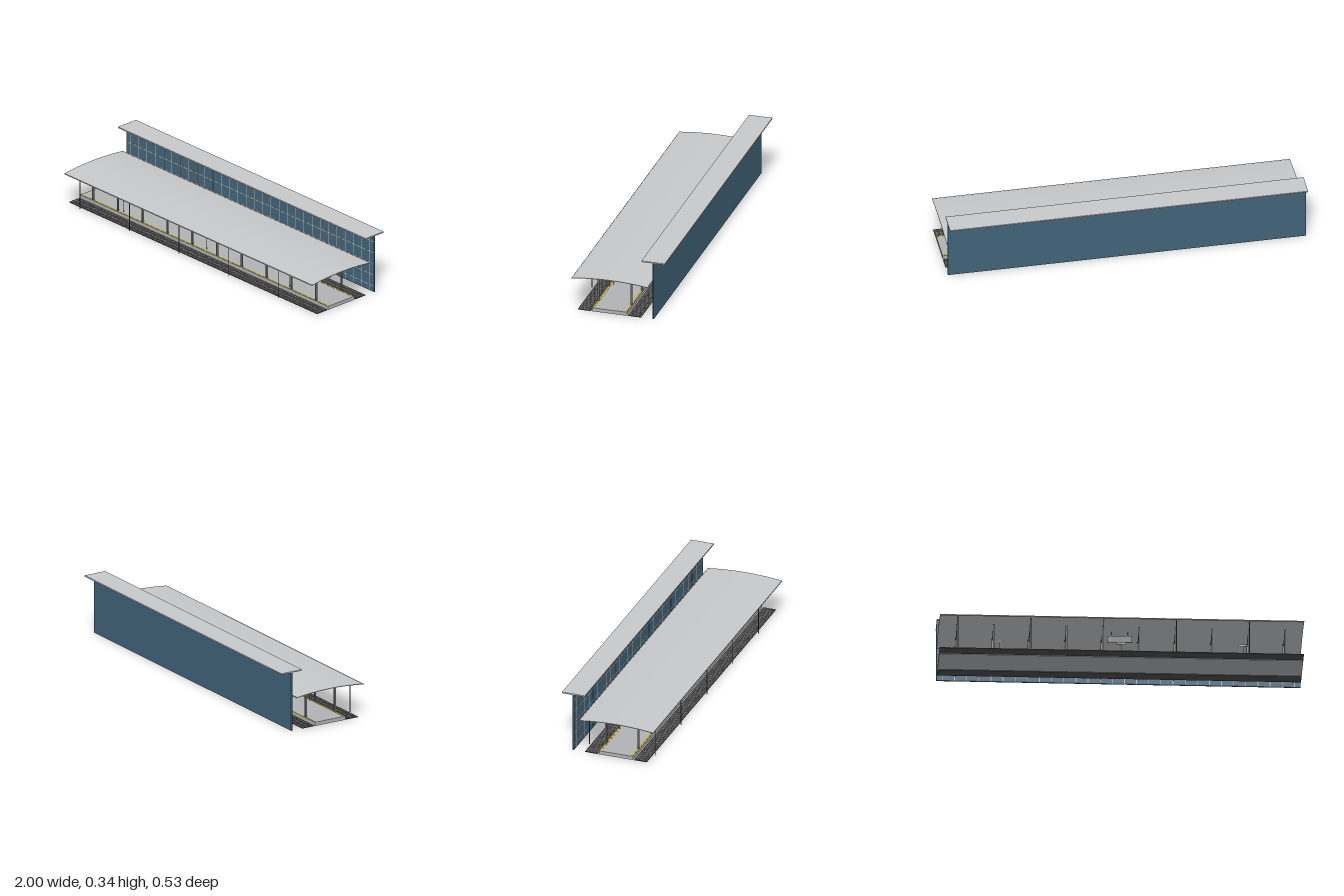
import * as THREE from 'three';

const mat = (name, color) => {
  const m = new THREE.MeshStandardMaterial({ color });
  m.name = name;
  return m;
};

export function createModel() {
  const roofGrey = mat('roof grey', 0xc6c8ca);
  const concrete = mat('concrete', 0xb0b2b4);
  const steel = mat('steel', 0x808284);
  const darkSteel = mat('dark steel', 0x55565a);
  const blue = mat('wall blue', 0x41647a);
  const joint = mat('joint grey', 0xb4b4ae);
  const yellow = mat('safety yellow', 0xd8b820);
  const ballastDark = mat('ballast', 0x4a4a4c);
  const sleeperGrey = mat('sleeper', 0x6e6a66);

  const model = new THREE.Group();
  model.name = 'trainStation';

  const add = (name, geometry, material, x = 0, y = 0, z = 0, parent = model) => {
    const m = new THREE.Mesh(geometry, material);
    m.name = name;
    m.position.set(x, y, z);
    parent.add(m);
    return m;
  };
  // Box given by its extents along y and z, centred at x
  const slab = (name, material, x, width, y0, y1, z0, z1, parent = model) =>
    add(name, new THREE.BoxGeometry(width, y1 - y0, Math.abs(z1 - z0)), material,
      x, (y0 + y1) / 2, (z0 + z1) / 2, parent);
  // Thin bar between two points (z, y) in a cross-section at x
  const bar = (name, x, [z0, y0], [z1, y1], t, parent = model) => {
    const m = add(name, new THREE.BoxGeometry(t, t, Math.hypot(z1 - z0, y1 - y0)), steel,
      x, (y0 + y1) / 2, (z0 + z1) / 2, parent);
    m.rotation.x = -Math.atan2(y1 - y0, z1 - z0);
    return m;
  };

  const midZ = 0.05; // centre line of the platform

  // Platform with yellow safety lines
  slab('platform', concrete, 0, 2, 0, 0.021, -0.05, 0.15);
  for (const s of [-1, 1])
    slab('safetyLine', yellow, 0, 2, 0.021, 0.0222, midZ + s * 0.088, midZ + s * 0.096);

  // Tracks on both sides
  for (const s of [-1, 1]) {
    const track = new THREE.Group();
    track.name = 'track';
    track.position.z = midZ + s * 0.144;
    model.add(track);
    slab('ballast', ballastDark, 0, 2, 0, 0.0035, -0.037, 0.037, track);
    for (let i = 0; i < 80; i++)
      slab('sleeper', sleeperGrey, -0.9875 + i * 0.025, 0.009, 0.0035, 0.0045, -0.026, 0.026, track);
    for (const r of [-0.015, 0.015])
      slab('rail', steel, 0, 2, 0.0035, 0.0065, r - 0.0012, r + 0.0012, track);
  }

  // Curved canopy: a thin slab bent by a parabola
  const halfDepth = 0.217;
  const shell = new THREE.BoxGeometry(2, 0.003, halfDepth * 2, 1, 1, 28);
  const p = shell.attributes.position;
  for (let i = 0; i < p.count; i++)
    p.setY(i, p.getY(i) + 0.1985 - 0.014 * (p.getZ(i) / halfDepth) ** 2);
  shell.computeVertexNormals();
  add('canopy', shell, roofGrey, 0, 0, midZ);
  for (const s of [-1, 1])
    slab('canopyLip', roofGrey, 0, 2, 0.181, 0.187, midZ + s * 0.215, midZ + s * 0.2175);

  // Platform columns with rafters rising to the ridge
  for (let i = 0; i < 10; i++) {
    const x = -0.9 + i * 0.2;
    for (const s of [-1, 1]) {
      slab('column', steel, x, 0.009, 0.021, 0.184, midZ + s * 0.09, midZ + s * 0.099);
      bar('rafterFoot', x, [midZ + s * 0.09, 0.176], [midZ + s * 0.045, 0.179], 0.003);
      bar('rafter', x, [midZ + s * 0.045, 0.179], [midZ, 0.186], 0.003);
    }
  }

  // Catenary poles with arms over the tracks
  for (let i = 0; i < 5; i++) {
    const x = -0.9 + i * 0.4;
    for (const s of [-1, 1]) {
      const z = midZ + s * 0.193;
      add('pole', new THREE.CylinderGeometry(0.0025, 0.0025, 0.184, 10), darkSteel, x, 0.092, z);
      slab('poleArm', darkSteel, x, 0.002, 0.17, 0.172, z, z - s * 0.061);
    }
  }

  // Hanging sign board
  slab('signBoard', steel, -0.005, 0.135, 0.135, 0.174, 0.0485, 0.0535);
  for (const x of [-0.05, 0.04]) slab('signHanger', darkSteel, x, 0.002, 0.174, 0.198, 0.05, 0.052);

  // Information posts
  for (const x of [-0.67, 0, 0.67]) {
    slab('infoPost', steel, x, 0.003, 0.021, 0.1, 0.127, 0.129);
    slab('infoPanel', joint, x, 0.05, 0.089, 0.1, 0.127, 0.1295);
  }

  // Benches
  for (const x of [-0.5, -0.265, 0.265, 0.5]) {
    slab('benchSeat', steel, x, 0.05, 0.026, 0.033, -0.018, -0.008);
    slab('benchBack', steel, x, 0.05, 0.033, 0.041, -0.019, -0.0175);
    for (const s of [-1, 1])
      slab('benchLeg', darkSteel, x + s * 0.018, 0.003, 0.021, 0.026, -0.016, -0.01);
  }

  // Tiled rear wall with its flat roof
  slab('wall', blue, 0, 2, 0, 0.336, -0.204, -0.196);
  for (let i = 0; i < 30; i++)
    slab('wallJointVertical', joint, -0.9667 + i / 15, 0.004, 0, 0.336, -0.196, -0.1955);
  for (let i = 0; i < 5; i++) {
    const y = 0.035 + i / 15;
    slab('wallJointHorizontal', joint, 0, 2, y - 0.002, y + 0.002, -0.196, -0.1955);
  }
  slab('wallRoof', roofGrey, 0, 2, 0.336, 0.343, -0.267, -0.133);

  return model;
}
